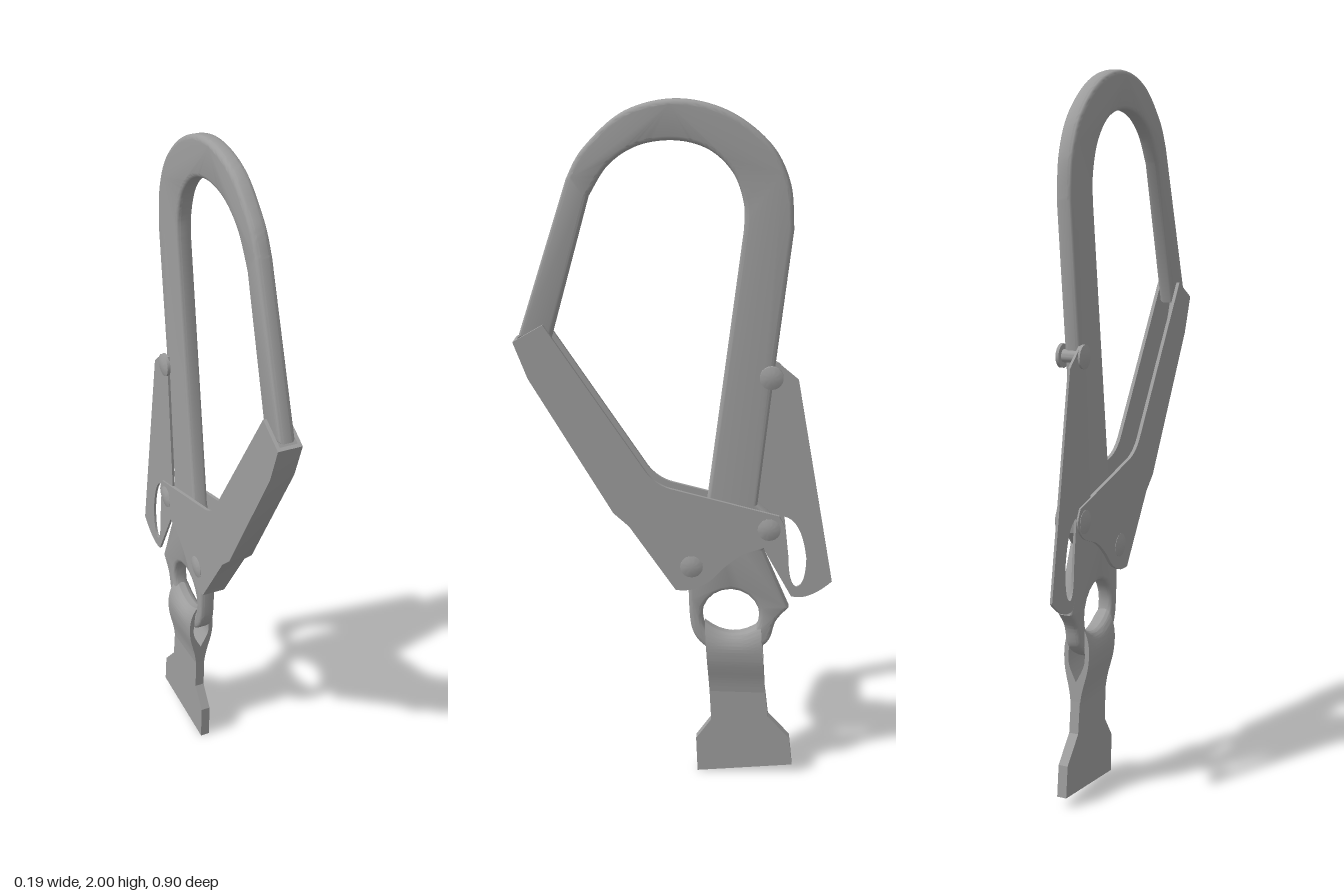
import * as THREE from 'three';
import { toCreasedNormals } from 'three/addons/utils/BufferGeometryUtils.js';

const V = (list) => list.map(([a, b]) => new THREE.Vector2(a, b));

// Extrude a profile drawn in (z, y) across x, centred on x = offset.
function plate(name, shape, width, offset, material, bevel = 0, segments = 1) {
  const geo = new THREE.ExtrudeGeometry(shape, {
    depth: width - 2 * bevel, curveSegments: 10, bevelEnabled: bevel > 0,
    bevelThickness: bevel, bevelSize: bevel, bevelOffset: -bevel, bevelSegments: segments,
  });
  geo.translate(0, 0, -(width - 2 * bevel) / 2);
  geo.rotateY(-Math.PI / 2);
  geo.translate(offset, 0, 0);
  const mesh = new THREE.Mesh(toCreasedNormals(geo, 0.6), material);
  mesh.name = name;
  return mesh;
}

export function createModel() {
  const metal = new THREE.MeshStandardMaterial({ color: 0x9d9d9d });
  const body = new THREE.Group();
  body.name = 'scaffoldHook';

  // Hook: nose, arch, back bar and eye in one rounded profile
  const hook = new THREE.Shape();
  hook.moveTo(0.35, 1.33);
  hook.lineTo(0.437, 1.35);
  hook.lineTo(0.293, 1.79);
  hook.splineThru(V([[0.247, 1.87], [0.14, 1.965], [0, 2.0], [-0.14, 1.97], [-0.255, 1.885], [-0.31, 1.78], [-0.322, 1.66]]));
  hook.lineTo(-0.275, 1.24);
  hook.lineTo(-0.237, 0.87);
  hook.lineTo(-0.295, 0.82);
  hook.lineTo(-0.29, 0.77);
  hook.lineTo(-0.255, 0.73);
  hook.lineTo(-0.333, 0.55);
  hook.splineThru(V([[-0.297, 0.505], [-0.275, 0.44], [-0.22, 0.4], [-0.165, 0.39], [-0.09, 0.42], [-0.05, 0.48], [-0.04, 0.61]]));
  hook.lineTo(-0.01, 0.66);
  hook.lineTo(-0.04, 0.78);
  hook.lineTo(-0.09, 0.86);
  hook.lineTo(-0.187, 1.66);
  hook.splineThru(V([[-0.185, 1.73], [-0.155, 1.81], [-0.09, 1.87], [0, 1.893], [0.1, 1.878], [0.18, 1.825], [0.235, 1.74]]));
  hook.closePath();
  const eye = new THREE.Path();
  eye.absellipse(-0.165, 0.52, 0.084, 0.084, 0, Math.PI * 2, true);
  hook.holes.push(eye);
  body.add(plate('hook', hook, 0.046, 0, metal, 0.012, 3));

  // Gate: two cheek plates joined by a folded spine along the outer edge
  const cheek = new THREE.Shape();
  cheek.moveTo(0.45, 1.34);
  cheek.lineTo(0.41, 1.235);
  cheek.lineTo(0.175, 0.84);
  cheek.lineTo(0.13, 0.8);
  cheek.lineTo(-0.005, 0.605);
  cheek.splineThru(V([[-0.05, 0.608], [-0.1, 0.633], [-0.145, 0.68], [-0.2, 0.722], [-0.28, 0.755], [-0.315, 0.8], [-0.3, 0.842]]));
  cheek.lineTo(0.0, 0.915);
  cheek.quadraticCurveTo(0.05, 0.925, 0.08, 0.965);
  cheek.lineTo(0.365, 1.39);
  cheek.closePath();
  for (const side of [-1, 1]) {
    body.add(plate(side > 0 ? 'gateCheekLeft' : 'gateCheekRight', cheek, 0.01, side * 0.03, metal));
  }
  const spine = new THREE.Shape(V([
    [0.45, 1.34], [0.41, 1.235], [0.175, 0.84], [0.13, 0.8], [-0.005, 0.605],
    [-0.015, 0.612], [0.122, 0.808], [0.167, 0.848], [0.401, 1.24], [0.44, 1.345],
  ]));
  body.add(plate('gateSpine', spine, 0.07, 0, metal));

  // Locking lever: a single slotted plate beside the back bar
  const lever = new THREE.Shape();
  lever.moveTo(-0.255, 1.28);
  lever.lineTo(-0.285, 1.28);
  lever.lineTo(-0.346, 1.23);
  lever.lineTo(-0.458, 0.62);
  lever.quadraticCurveTo(-0.39, 0.555, -0.34, 0.57);
  lever.lineTo(-0.25, 0.73);
  lever.lineTo(-0.23, 0.87);
  lever.closePath();
  const slot = new THREE.Path();
  slot.moveTo(-0.315, 0.82);
  slot.quadraticCurveTo(-0.367, 0.81, -0.382, 0.69);
  slot.quadraticCurveTo(-0.382, 0.6, -0.352, 0.6);
  slot.quadraticCurveTo(-0.332, 0.61, -0.33, 0.69);
  slot.closePath();
  lever.holes.push(slot);
  body.add(plate('lockLever', lever, 0.007, -0.0265, metal));

  // Rivets with low domed heads
  const rivetProfile = V([[0, -0.042], [0.018, -0.041], [0.033, -0.036], [0.033, -0.027], [0.018, -0.027],
    [0.018, 0.027], [0.033, 0.027], [0.033, 0.036], [0.018, 0.041], [0, 0.042]]);
  for (const [z, y, name] of [[-0.27, 1.25, 'leverRivet'], [-0.272, 0.8, 'gateLeverRivet'], [-0.05, 0.68, 'gateRivet']]) {
    const geo = new THREE.LatheGeometry(rivetProfile, 20);
    geo.rotateZ(-Math.PI / 2);
    geo.translate(0, y, z);
    const rivet = new THREE.Mesh(toCreasedNormals(geo, 0.6), metal);
    rivet.name = name;
    body.add(rivet);
  }

  // Webbing loop folded through the eye, drawn in (x, y) and extruded along z
  const loop = new THREE.Shape();
  loop.moveTo(-0.014, 0.27);
  loop.lineTo(0.014, 0.27);
  loop.splineThru(V([[0.02, 0.31], [0.036, 0.38], [0.037, 0.44], [0.022, 0.485], [0, 0.498], [-0.022, 0.485], [-0.037, 0.44], [-0.036, 0.38], [-0.02, 0.31], [-0.014, 0.27]]));
  const gap = new THREE.Path();
  gap.moveTo(0, 0.335);
  gap.splineThru(V([[0.023, 0.385], [0.024, 0.43], [0.014, 0.458], [0, 0.466], [-0.014, 0.458], [-0.024, 0.43], [-0.023, 0.385], [0, 0.335]]));
  loop.holes.push(gap);
  const width = 0.165;
  const loopGeo = new THREE.ExtrudeGeometry(loop, { depth: width, steps: 8, bevelEnabled: false, curveSegments: 24 });
  // Sag the fold in the middle, and lean the loop to meet the tail below
  const p = loopGeo.attributes.position;
  for (let i = 0; i < p.count; i++) {
    const y = p.getY(i);
    const t = 2 * p.getZ(i) / width - 1;
    p.setY(i, y - 0.035 * (1 - t * t) * Math.max(0, (y - 0.4) / 0.098));
    p.setZ(i, p.getZ(i) - 0.257 + (y - 0.45) * 0.07);
  }
  const webLoop = new THREE.Mesh(toCreasedNormals(loopGeo, 0.6), metal);
  webLoop.name = 'webbingLoop';
  body.add(webLoop);

  // Webbing tail with flared end
  const tail = new THREE.Shape(V([
    [-0.104, 0.28], [-0.11, 0.175], [-0.065, 0.11], [-0.07, 0],
    [-0.355, 0.03], [-0.345, 0.12], [-0.28, 0.19], [-0.269, 0.28],
  ]));
  body.add(plate('webbingTail', tail, 0.028, 0, metal));

  // The whole hook is turned slightly about the vertical
  body.rotation.y = 0.134;
  body.position.x = -0.004;
  const model = new THREE.Group();
  model.name = 'model';
  model.add(body);
  return model;
}
